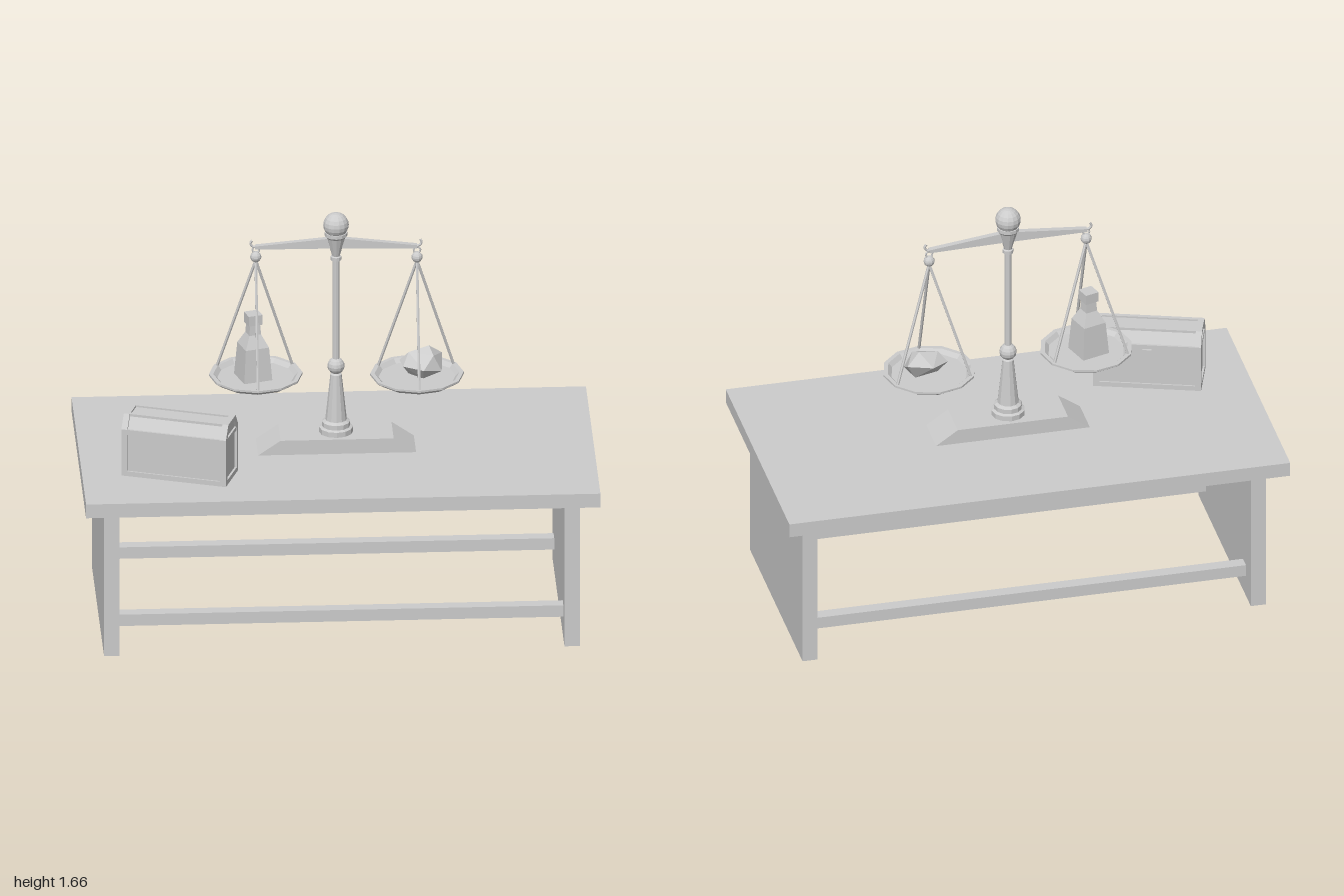
import * as THREE from 'three';
import { ConvexGeometry } from 'three/addons/geometries/ConvexGeometry.js';

const mat = new THREE.MeshStandardMaterial({ color: 0xcccccc, flatShading: true });
const V = (x, y, z) => new THREE.Vector3(x, y, z);

function add(parent, name, geo, x = 0, y = 0, z = 0) {
  const m = new THREE.Mesh(geo, mat);
  m.name = name;
  m.position.set(x, y, z);
  parent.add(m);
  return m;
}
const box = (parent, name, w, h, d, x, y, z) => add(parent, name, new THREE.BoxGeometry(w, h, d), x, y, z);
const lathe = (pts, sides) => new THREE.LatheGeometry(pts.map(p => new THREE.Vector2(...p)), sides);
const shape = pts => new THREE.Shape(pts.map(p => new THREE.Vector2(...p)));
const extrude = (s, depth) =>
  new THREE.ExtrudeGeometry(s, { depth, bevelEnabled: false }).translate(0, 0, -depth / 2);

// Thin round rod between two points
function rod(parent, name, a, b, r) {
  const m = add(parent, name, new THREE.CylinderGeometry(r, r, a.distanceTo(b), 6));
  m.position.copy(a).lerp(b, 0.5);
  m.quaternion.setFromUnitVectors(V(0, 1, 0), b.clone().sub(a).normalize());
}

function createTable() {
  const g = new THREE.Group();
  g.name = 'table';
  box(g, 'tableTop', 2, 0.058, 1.056, 0, 0.653, 0);
  for (const s of [-1, 1]) {
    box(g, 'sidePanel', 0.06, 0.626, 0.87, s * 0.895, 0.313, 0);
    box(g, 'stretcher', 1.73, 0.048, 0.05, 0, 0.115, s * 0.33);
  }
  return g;
}

// One hanging pan; the origin is the centre of the pan's underside
function createPan(height) {
  const g = new THREE.Group();
  add(g, 'pan', lathe([[0, 0], [0.155, 0], [0.182, 0.018], [0.182, 0.026], [0.165, 0.026],
    [0.15, 0.01], [0, 0.01]], 12));
  add(g, 'hangerBall', new THREE.SphereGeometry(0.022, 10, 8), 0, height, 0);
  add(g, 'hangerRing', new THREE.TorusGeometry(0.013, 0.004, 5, 10), 0, height + 0.03, 0);
  for (let i = 0; i < 3; i++) {
    const a = i * Math.PI * 2 / 3;
    rod(g, 'panRod', V(0, height - 0.015, 0), V(Math.sin(a) * 0.17, 0.02, Math.cos(a) * 0.17), 0.006);
  }
  return g;
}

function createScale() {
  const g = new THREE.Group();
  g.name = 'balanceScale';
  add(g, 'scaleBase', extrude(shape([[-0.31, 0.68], [0.31, 0.68], [0.22, 0.742], [-0.22, 0.742]]), 0.165));
  add(g, 'post', lathe([[0, 0.74], [0.066, 0.74], [0.066, 0.763], [0.055, 0.768], [0.055, 0.787],
    [0.042, 0.795], [0.022, 0.985], [0.013, 0.99], [0.013, 1.465], [0.021, 1.468], [0.021, 1.482],
    [0.015, 1.485], [0.022, 1.51], [0.037, 1.562], [0.044, 1.57], [0.044, 1.584], [0, 1.584]], 12));
  add(g, 'postKnob', new THREE.SphereGeometry(0.034, 12, 8), 0, 1.02, 0);
  add(g, 'finial', new THREE.SphereGeometry(0.05, 14, 10), 0, 1.615, 0);

  // Slightly tilted beam with curled tips
  const beam = new THREE.Group();
  beam.name = 'beam';
  beam.position.y = 1.535;
  beam.rotation.z = -0.014;
  g.add(beam);
  add(beam, 'beamArm', extrude(shape([[-0.315, -0.018], [-0.04, -0.016], [0.04, -0.016], [0.315, -0.018],
    [0.315, -0.005], [0.04, 0.024], [-0.04, 0.024], [-0.315, -0.005]]), 0.022));
  for (const s of [-1, 1]) {
    const path = new THREE.CatmullRomCurve3([V(s * 0.305, -0.012, 0), V(s * 0.325, -0.008, 0),
      V(s * 0.333, 0.005, 0), V(s * 0.326, 0.017, 0)]);
    add(beam, 'beamTip', new THREE.TubeGeometry(path, 8, 0.005, 6));
  }

  // Left-hand view pan sits higher than the other
  for (const [x, y, h] of [[-0.312, 0.97, 0.517], [0.315, 0.957, 0.515]]) {
    const pan = createPan(h);
    pan.name = 'hangingPan';
    pan.position.set(x, y, 0);
    g.add(pan);
  }
  return g;
}

// Chest with raised frames around recessed panels
function createChest() {
  const g = new THREE.Group();
  g.name = 'chest';
  const profile = i => [[-0.0875 + i, i], [0.0875 - i, i], [0.0875 - i, 0.195 - i * 0.4],
    [0.052 - i * 0.6, 0.248 - i], [-0.052 + i * 0.6, 0.248 - i], [-0.0875 + i, 0.195 - i * 0.4]];
  add(g, 'chestBody', extrude(shape(profile(0.007)), 0.405)).rotation.y = Math.PI / 2;
  for (const s of [-1, 1]) {
    const frame = shape(profile(0));
    frame.holes.push(new THREE.Path(profile(0.02).map(p => new THREE.Vector2(...p))));
    add(g, 'endFrame', extrude(frame, 0.024), s * 0.199, 0, 0).rotation.y = Math.PI / 2;
    box(g, 'endRail', 0.016, 0.016, 0.16, s * 0.202, 0.185, 0);
    box(g, 'bottomRail', 0.38, 0.02, 0.012, 0, 0.01, s * 0.0815);
    box(g, 'lidRail', 0.38, 0.02, 0.012, 0, 0.185, s * 0.0815);
    box(g, 'topRail', 0.38, 0.01, 0.016, 0, 0.243, s * 0.044);
  }
  box(g, 'latch', 0.036, 0.06, 0.014, 0, 0.148, -0.09);
  return g;
}

export function createModel() {
  const model = new THREE.Group();
  model.name = 'tableWithScale';
  model.add(createTable(), createScale());

  const chest = createChest();
  chest.position.set(-0.62, 0.682, 0.235);
  chest.rotation.y = -0.33;
  model.add(chest);

  // Square bottle on the higher pan
  add(model, 'bottle', lathe([[0, 0], [0.082, 0], [0.068, 0.135], [0.034, 0.185], [0.03, 0.225],
    [0.04, 0.227], [0.04, 0.268], [0, 0.268]], 4), -0.322, 0.98, 0).rotation.y = Math.PI / 4 + 0.3;

  // Faceted stone on the lower pan
  add(model, 'stone', new ConvexGeometry([
    V(-0.08, 0.06, -0.03), V(-0.01, 0.07, -0.085), V(0.087, 0.075, -0.06), V(0.082, 0.03, 0.02),
    V(0.01, 0.05, 0.064), V(-0.068, 0.05, 0.016), V(-0.045, 0.1, -0.01), V(0.035, 0.118, -0.03),
    V(0.05, 0.095, 0.02), V(0.01, 0, 0.02), V(-0.045, 0.01, -0.01), V(0.05, 0.005, -0.03),
  ]), 0.328, 0.966, 0);
  return model;
}
